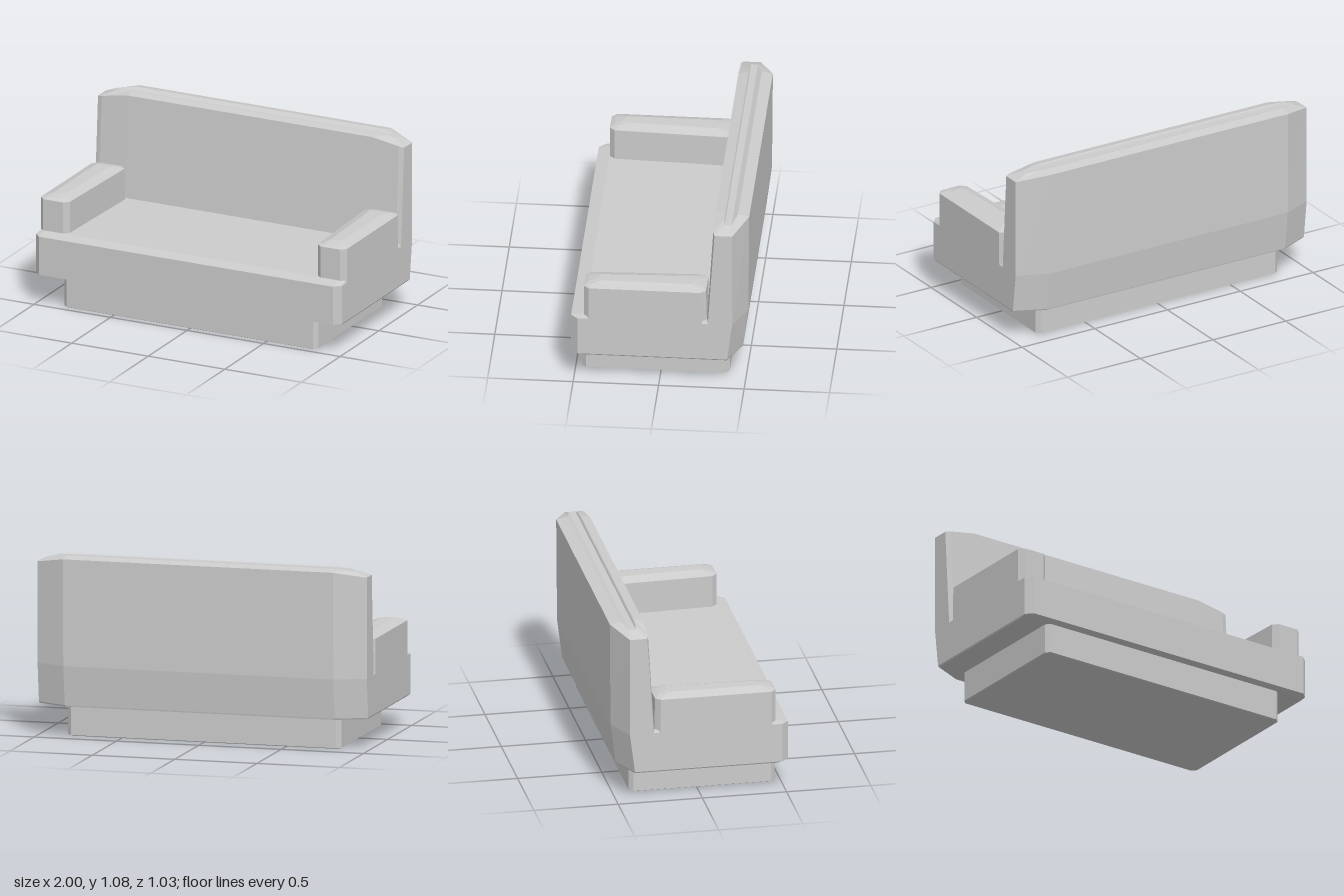
import * as THREE from 'three';

const material = new THREE.MeshStandardMaterial({ color: 0xcccccc, flatShading: true });

// Skins stacked closed rings (bottom to top, each counterclockwise from above) and caps both ends.
function loft(name, rings) {
  const n = rings[0].length;
  const pos = [];
  const tri = (a, b, c) => pos.push(...a, ...b, ...c);
  for (let r = 0; r < rings.length - 1; r++) {
    const a = rings[r], b = rings[r + 1];
    for (let i = 0; i < n; i++) {
      const j = (i + 1) % n;
      tri(a[i], a[j], b[j]);
      tri(a[i], b[j], b[i]);
    }
  }
  // caps are zipped from both ends so they stay symmetrical
  const bottom = rings[0], top = rings[rings.length - 1];
  for (let i = 0; i < n / 2 - 1; i++) {
    const p = n - 1 - i, q = n - 2 - i;
    tri(top[i], top[i + 1], top[q]);
    tri(top[i], top[q], top[p]);
    tri(bottom[i], bottom[q], bottom[i + 1]);
    tri(bottom[i], bottom[p], bottom[q]);
  }
  const geo = new THREE.BufferGeometry();
  geo.setAttribute('position', new THREE.Float32BufferAttribute(pos, 3));
  geo.computeVertexNormals();
  const mesh = new THREE.Mesh(geo, material);
  mesh.name = name;
  return mesh;
}

// Completes a ring from its +x half, listed front to back.
const mirror = (half) => [...half, ...half.map(([x, y, z]) => [-x, y, z]).reverse()];

// Half ring of a rectangle with chamfered corners.
const slab = (y, x, front, back, cf, cbx = cf, cbz = cf) => mirror([
  [x - cf, y, front], [x, y, front - cf], [x, y, back + cbz], [x - cbx, y, back],
]);

// Armrest ring for the +x side: inner edge flares towards the back.
const armRing = (y, yEnd, inset, front, back, c) => {
  const inF = 0.81 + inset, inB = 0.785 + inset, out = 1 - inset;
  return [
    [out - c, yEnd, front], [out, y, front - c], [out, y, back + c], [out - c, yEnd, back],
    [inB + c, yEnd, back], [inB, y, back + c], [inF, y, front - c], [inF + c, yEnd, front],
  ];
};

export function createModel() {
  const sofa = new THREE.Group();
  sofa.name = 'sofa';

  // Recessed plinth
  sofa.add(loft('plinth', [
    slab(0, 0.82, 0.455, -0.39, 0.025),
    slab(0.005, 0.83, 0.465, -0.4, 0.025),
    slab(0.188, 0.83, 0.465, -0.4, 0.025),
  ]));

  // Seat block with a raked back
  sofa.add(loft('seat', [
    slab(0.186, 0.995, 0.475, -0.478, 0.035, 0.18, 0.08),
    slab(0.194, 1, 0.515, -0.48, 0.04, 0.18, 0.08),
    slab(0.43, 1, 0.515, -0.51, 0.04, 0.18, 0.08),
    slab(0.445, 0.99, 0.44, -0.42, 0.03, 0.18, 0.02),
  ]));

  // Backrest with wide rear chamfers and a crowned top
  sofa.add(loft('backrest', [
    [[0.8, -0.275], [0.97, -0.28], [1, -0.288], [1, -0.43], [0.82, -0.51]].map(([x, z]) => [x, 0.43, z]),
    [[0.8, 1.065, -0.315], [0.97, 1.035, -0.317], [1, 1.028, -0.327], [1, 1.028, -0.43], [0.82, 1.062, -0.515]],
    [[0.8, 1.075, -0.37], [0.88, 1.07, -0.375], [0.92, 1.06, -0.38], [0.92, 1.06, -0.42], [0.82, 1.075, -0.45]],
  ].map(mirror)));

  // Armrests, the right one mirrored from the left
  const armRings = [
    armRing(0.43, 0.43, 0, 0.44, -0.28, 0.03),
    armRing(0.637, 0.637, 0, 0.44, -0.275, 0.03),
    armRing(0.65, 0.648, 0.035, 0.415, -0.25, 0.025),
    armRing(0.66, 0.66, 0.06, 0.36, -0.2, 0.02),
  ];
  sofa.add(loft('leftArmrest', armRings));
  sofa.add(loft('rightArmrest', armRings.map((ring) => ring.map(([x, y, z]) => [-x, y, z]).reverse())));

  return sofa;
}
